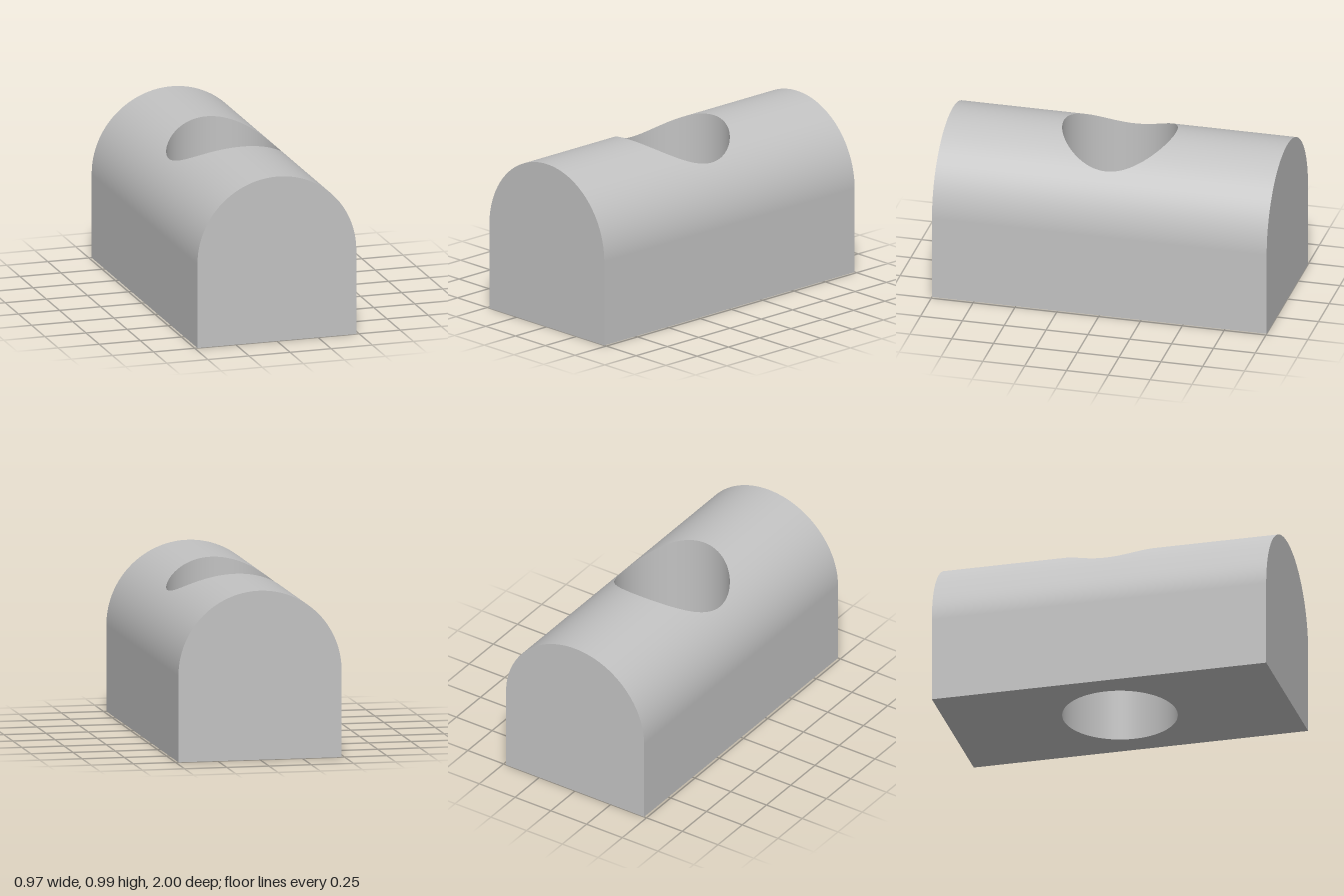
import * as THREE from 'three';

const R = 0.483, SPRING = 0.507, BORE = 0.335, HALF = 1;
const roofY = x => SPRING + Math.sqrt(Math.max(0, R * R - x * x));

// Collects quads with given normals, winding each to face its normals.
function quadBuilder() {
  const pos = [], nor = [];
  return {
    quad(corners, normals) {
      const [a, b, c] = corners;
      const face = b.clone().sub(a).cross(c.clone().sub(a));
      const order = face.dot(normals[0].clone().add(normals[2])) > 0 ? [0, 1, 2, 0, 2, 3] : [0, 2, 1, 0, 3, 2];
      for (const i of order) {
        pos.push(...corners[i].toArray());
        nor.push(...normals[i].toArray());
      }
    },
    build() {
      const g = new THREE.BufferGeometry();
      g.setAttribute('position', new THREE.Float32BufferAttribute(pos, 3));
      g.setAttribute('normal', new THREE.Float32BufferAttribute(nor, 3));
      return g;
    },
  };
}

export function createModel() {
  const group = new THREE.Group();
  const grey = new THREE.MeshStandardMaterial({ color: 0xc2c2c2 });
  grey.name = 'plain grey';
  const add = (name, geometry) => {
    const mesh = new THREE.Mesh(geometry, grey);
    mesh.name = name;
    group.add(mesh);
    return mesh;
  };
  const V = (x, y, z) => new THREE.Vector3(x, y, z);

  // Columns across the roof: shoulder, span of the bore, other shoulder
  const N = 48, M = 16, edge = Math.asin(BORE / R);
  const columns = [];
  for (let i = 0; i < M; i++) {
    columns.push(R * Math.sin(-Math.PI / 2 + (Math.PI / 2 - edge) * i / M));
  }
  for (let i = 0; i <= N; i++) columns.push(-BORE * Math.cos(Math.PI * i / N));
  for (let i = M - 1; i >= 0; i--) columns.push(-columns[i]);

  const boreZ = x => Math.sqrt(Math.max(0, BORE * BORE - x * x));
  const roofNormal = x => V(x / R, (roofY(x) - SPRING) / R, 0);

  const roof = quadBuilder(), bore = quadBuilder();
  for (const s of [1, -1]) {
    for (let i = 0; i < columns.length - 1; i++) {
      const a = columns[i], b = columns[i + 1];
      const ya = roofY(a), yb = roofY(b), za = s * boreZ(a), zb = s * boreZ(b);
      // Barrel roof strip from the bore rim to the end
      const na = roofNormal(a), nb = roofNormal(b);
      roof.quad([V(a, ya, za), V(a, ya, s * HALF), V(b, yb, s * HALF), V(b, yb, zb)], [na, na, nb, nb]);
      // Bore wall, facing its axis
      if (i >= M && i < M + N) {
        const ma = V(-a, 0, -za).normalize(), mb = V(-b, 0, -zb).normalize();
        bore.quad([V(a, 0, za), V(a, ya, za), V(b, yb, zb), V(b, 0, zb)], [ma, ma, mb, mb]);
      }
    }
  }
  add('barrelRoof', roof.build());
  add('boreWall', bore.build());

  // Arched ends and flat side walls
  const arch = new THREE.Shape([new THREE.Vector2(-R, 0), new THREE.Vector2(R, 0),
    ...columns.slice().reverse().map(x => new THREE.Vector2(x, roofY(x)))]);
  for (const s of [1, -1]) {
    const end = add(s > 0 ? 'frontEnd' : 'backEnd', new THREE.ShapeGeometry(arch));
    end.position.z = s * HALF;
    if (s < 0) end.rotation.y = Math.PI;

    const wall = add(s > 0 ? 'leftWall' : 'rightWall', new THREE.PlaneGeometry(2 * HALF, SPRING));
    wall.position.set(s * R, SPRING / 2, 0);
    wall.rotation.y = s * Math.PI / 2;
  }

  // Underside, pierced by the bore
  const base = new THREE.Shape([V(-R, -HALF), V(R, -HALF), V(R, HALF), V(-R, HALF)]
    .map(p => new THREE.Vector2(p.x, p.y ?? 0)));
  base.holes.push(new THREE.Path().absarc(0, 0, BORE, 0, Math.PI * 2, true));
  add('underside', new THREE.ShapeGeometry(base, N)).rotation.x = Math.PI / 2;

  return group;
}
